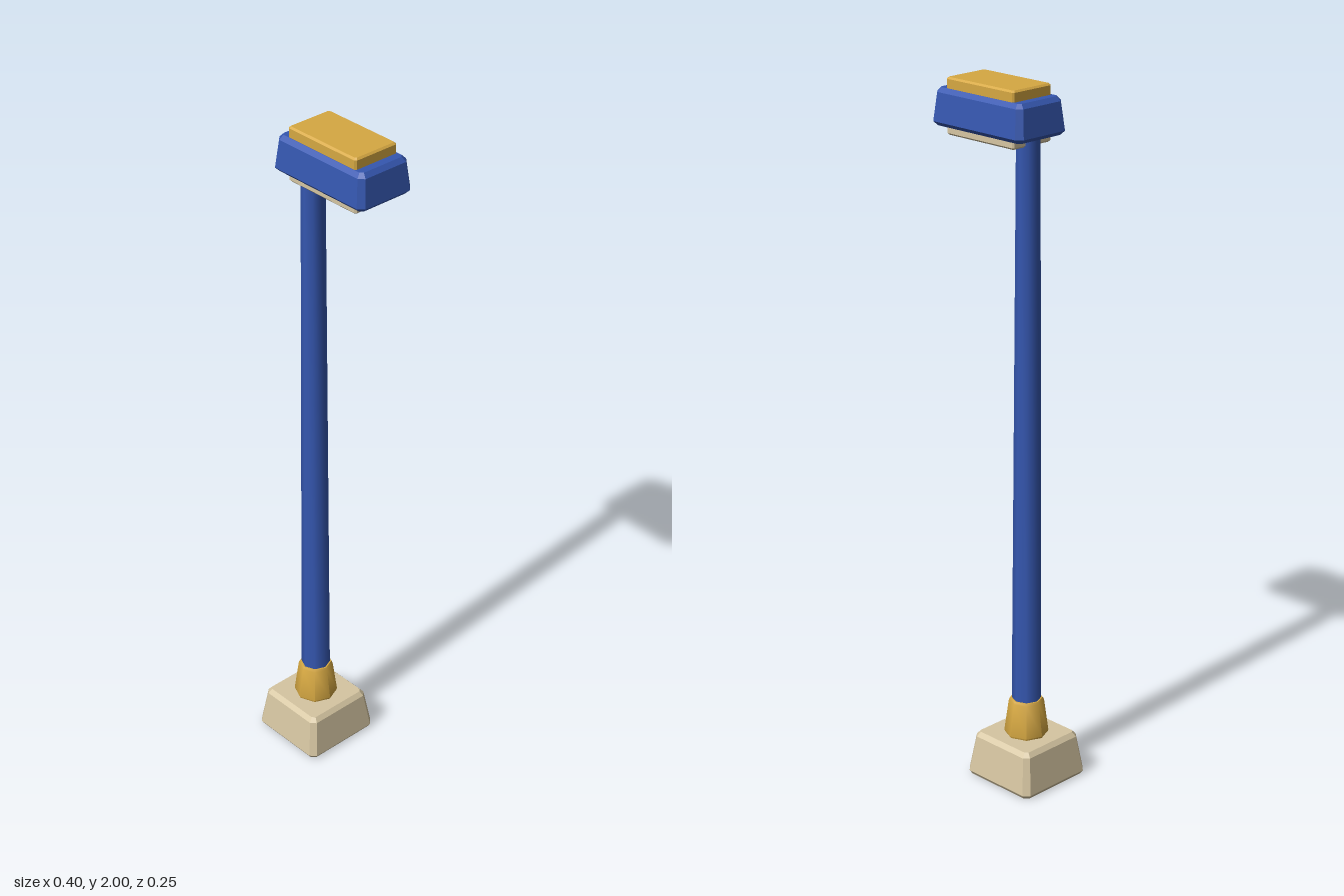
import * as THREE from 'three';
import { mergeVertices, toCreasedNormals } from 'three/addons/utils/BufferGeometryUtils.js';

const mat = (name, color) => {
  const m = new THREE.MeshStandardMaterial({ color });
  m.name = name;
  return m;
};

// Tapered block with cut corners, lofted through levels of [y, half x, half z, corner cut]
function block(levels) {
  const pos = [];
  const rings = levels.map(([y, a, b, c]) => [
    [a, b - c], [a - c, b], [c - a, b], [-a, b - c],
    [-a, c - b], [c - a, -b], [a - c, -b], [a, c - b],
  ].map(([x, z]) => [x, y, z]));
  const tri = (...p) => p.forEach((v) => pos.push(...v));
  for (let i = 0; i < rings.length - 1; i++) {
    for (let j = 0; j < 8; j++) {
      const k = (j + 1) % 8, lo = rings[i], hi = rings[i + 1];
      tri(lo[j], hi[j], hi[k]);
      tri(lo[j], hi[k], lo[k]);
    }
  }
  const first = rings[0], last = rings[rings.length - 1];
  for (let j = 1; j < 7; j++) {
    tri(first[0], first[j], first[j + 1]);
    tri(last[0], last[j + 1], last[j]);
  }
  const g = new THREE.BufferGeometry();
  g.setAttribute('position', new THREE.Float32BufferAttribute(pos, 3));
  g.computeVertexNormals();
  return g;
}

// Eight-sided turned part from [radius, y] points, smooth around and creased at the rims
function turned(points) {
  const g = new THREE.LatheGeometry(points.map(([r, y]) => new THREE.Vector2(r, y)), 8);
  g.deleteAttribute('uv');
  g.deleteAttribute('normal');
  // Half-step of the eight sides is 45 degrees, so crease above that
  return toCreasedNormals(mergeVertices(g), 0.85);
}

export function createModel() {
  const model = new THREE.Group();
  model.name = 'streetLamp';
  const blue = mat('blue paint', 0x3557b0);
  const gold = mat('gold', 0xd6a842);
  const beige = mat('beige stone', 0xd6c6a2);
  const add = (name, geometry, material, x) => {
    const mesh = new THREE.Mesh(geometry, material);
    mesh.name = name;
    mesh.position.x = x;
    model.add(mesh);
  };
  const poleX = -0.079, headX = 0.031;

  // Foot, collar and tapered pole
  add('base', block([
    [0, 0.115, 0.115, 0.012], [0.012, 0.123, 0.123, 0.016],
    [0.12, 0.107, 0.107, 0.014], [0.133, 0.096, 0.096, 0.008],
  ]), beige, poleX);
  add('collar', turned([
    [0, 0.125], [0.06, 0.13], [0.063, 0.138], [0.05, 0.235], [0.046, 0.242], [0, 0.242],
  ]), gold, poleX);
  add('pole', turned([[0, 0.2], [0.042, 0.2], [0.032, 1.885], [0, 1.885]]), blue, poleX);

  // Lamp head with its cap and light panel
  add('lampHead', block([
    [1.868, 0.157, 0.08, 0.01], [1.88, 0.169, 0.092, 0.016],
    [1.958, 0.16, 0.083, 0.014], [1.97, 0.149, 0.072, 0.008],
  ]), blue, headX);
  add('topCap', block([
    [1.96, 0.126, 0.071, 0.005], [1.995, 0.126, 0.071, 0.005], [2, 0.121, 0.066, 0.004],
  ]), gold, headX);
  add('lightPanel', block([
    [1.845, 0.121, 0.066, 0.004], [1.85, 0.126, 0.071, 0.005], [1.875, 0.126, 0.071, 0.005],
  ]), beige, headX);
  return model;
}
